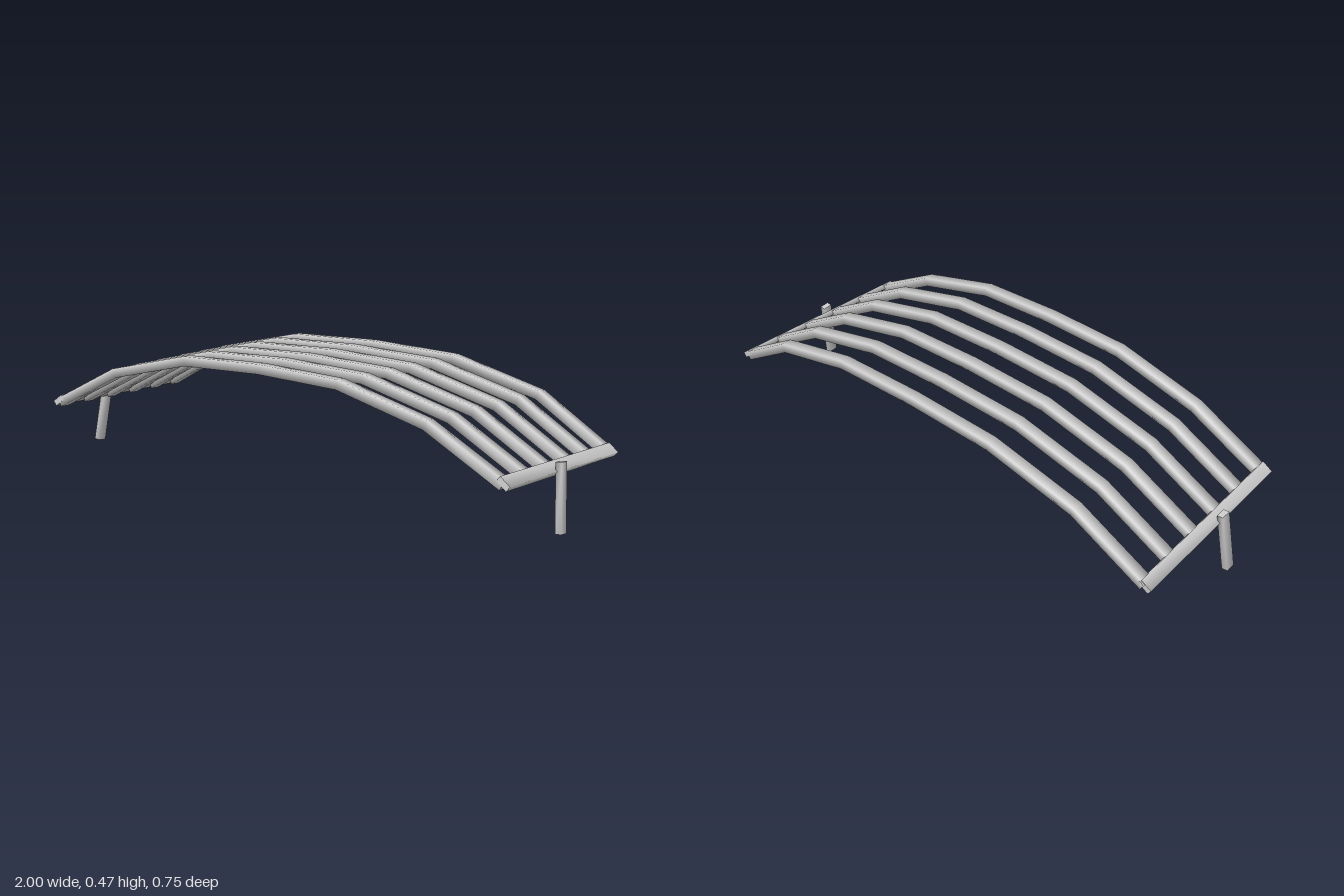
import * as THREE from 'three';

const steel = new THREE.MeshStandardMaterial({ color: 0xcccccc });
steel.name = 'lightGrey';

// Rectangular bar swept along points: width runs along side, height across it
function beam(name, points, side, width, height) {
  const pos = [], index = [], n = points.length;
  const corners = [[1, 1], [-1, 1], [-1, -1], [1, -1]];
  const dir = (i) => points[Math.min(i + 1, n - 1)].clone()
    .sub(points[Math.max(i - 1, 0)]).normalize();
  const ring = (i) => {
    const t = dir(i);
    const s = side.clone().addScaledVector(t, -side.dot(t)).normalize();
    const up = t.clone().cross(s);
    for (const [a, b] of corners) {
      const p = points[i].clone().addScaledVector(s, a * width / 2).addScaledVector(up, b * height / 2);
      pos.push(p.x, p.y, p.z);
    }
  };
  for (let i = 0; i < n; i++) ring(i);
  for (let i = 0; i < n - 1; i++) {
    for (let j = 0; j < 4; j++) {
      const a = i * 4 + j, b = i * 4 + (j + 1) % 4;
      index.push(a, b, b + 4, a, b + 4, a + 4);
    }
  }
  // End caps on their own vertices, so they stay flat
  ring(0);
  ring(n - 1);
  const c = n * 4;
  index.push(c, c + 2, c + 1, c, c + 3, c + 2);
  index.push(c + 4, c + 5, c + 6, c + 4, c + 6, c + 7);

  const geo = new THREE.BufferGeometry();
  geo.setAttribute('position', new THREE.Float32BufferAttribute(pos, 3));
  geo.setIndex(index);
  geo.computeVertexNormals();
  const mesh = new THREE.Mesh(geo, steel);
  mesh.name = name;
  return mesh;
}

export function createModel() {
  const group = new THREE.Group();
  group.name = 'archedRack';
  const V = (x, y, z) => new THREE.Vector3(x, y, z);
  const lerp = THREE.MathUtils.lerp;

  // Six arched slats, growing wider and lower toward the back
  for (let i = 0; i < 6; i++) {
    const k = i / 5;
    const z = lerp(0.335, -0.352, k);
    const bend = lerp(0.017, 0.042, k);
    const half = [
      V(lerp(0.317, 0.35, k), lerp(0.438, 0.409, k), z + bend * 0.06),
      V(lerp(0.645, 0.695, k), lerp(0.356, 0.326, k), z + bend * 0.4),
      V(lerp(0.918, 0.959, k), lerp(0.214, 0.171, k), z + bend),
    ];
    const left = half.map((p) => V(-p.x, p.y, p.z)).reverse();
    const path = [...left, V(0, lerp(0.449, 0.421, k), z), ...half];
    group.add(beam('slat' + (i + 1), path, V(0, 0.064, 1), 0.04, 0.034));
  }

  for (const s of [1, -1]) {
    const label = s > 0 ? 'left' : 'right';
    // Sloping side rail laid over the slat ends
    group.add(beam(label + 'Rail',
      [V(s * 0.922, 0.222, 0.373), V(s * 0.968, 0.175, -0.33)],
      V(s * 0.8, -0.6, 0), 0.044, 0.021));
    // Splayed support leg
    group.add(beam(label + 'Leg',
      [V(s * 0.966, 0.226, 0.068), V(s * 0.989, 0.003, 0.098)],
      V(0, 0, 1), 0.036, 0.022));
  }
  return group;
}
